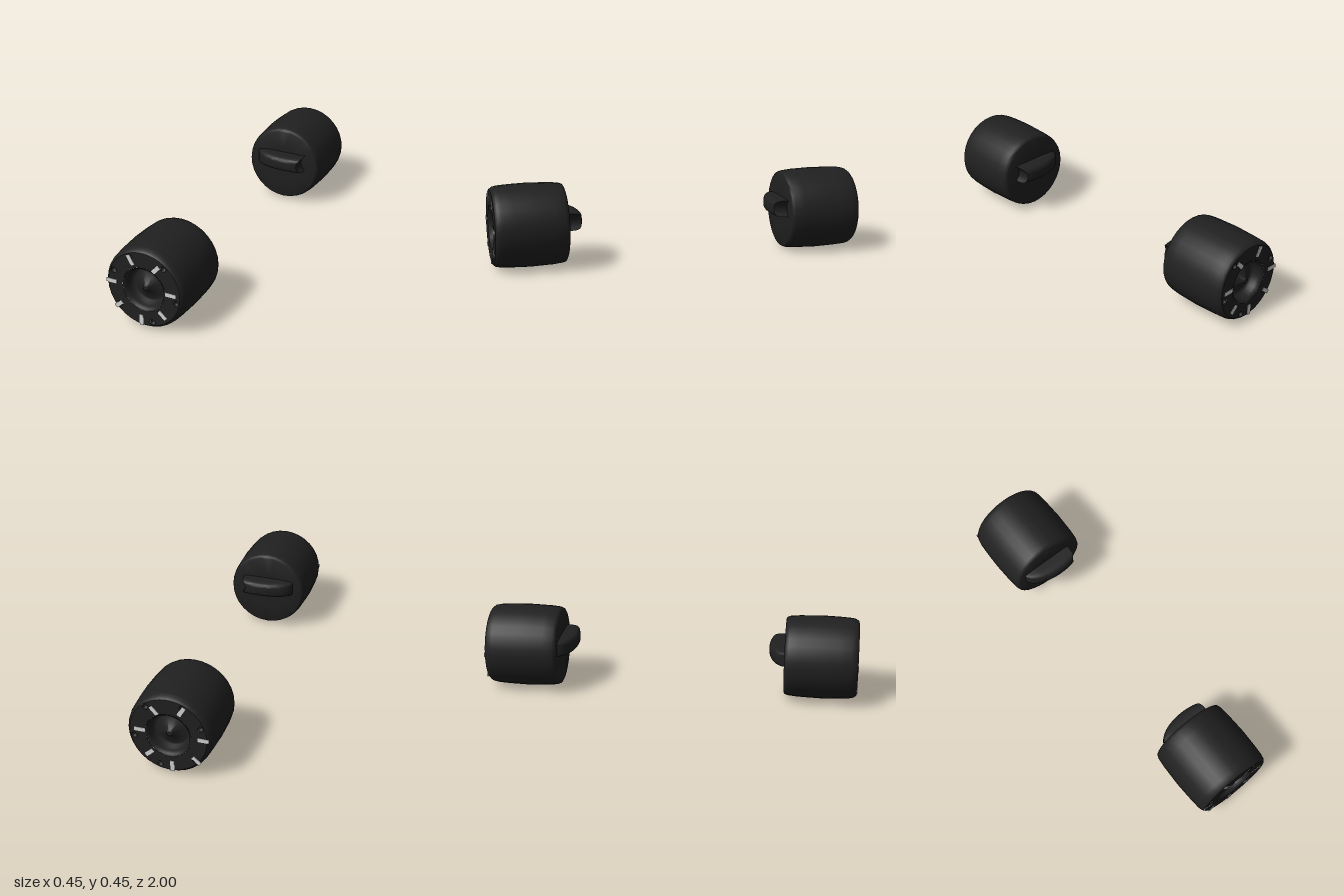
import * as THREE from 'three';
import { toCreasedNormals } from 'three/addons/utils/BufferGeometryUtils.js';

const CY = 0.225;      // height of the roller axis
const FACE = 0.998;    // z of the outer face
const SIDES = 32;

// Dents in the face: angle in degrees around the axis
const DENTS = [51, -11, -75.6, -140, 157.6, 114.4];
const DENT_ORBIT = 0.18, DENT_R = 0.015;

// Painted marks: x, y, angle in degrees, length
const MARKS = [
  [0.147, 0.23, 0, 0.058], [0.07, 0.351, 48, 0.053], [-0.07, 0.372, 120, 0.057],
  [-0.18, 0.23, 0, 0.058], [-0.143, 0.107, 40, 0.05], [-0.018, 0.05, 90, 0.058],
  [0.1, 0.105, -43, 0.05],
];

const lathe = (pts, sides = SIDES) =>
  new THREE.LatheGeometry(pts.map(([r, y]) => new THREE.Vector2(r, y)), sides).rotateX(Math.PI / 2);

// Mirror a geometry front to back, keeping its faces outward
function mirrorZ(geometry) {
  const g = geometry.index ? geometry.toNonIndexed() : geometry.clone();
  g.scale(1, 1, -1);
  g.deleteAttribute('uv');
  for (const { array } of Object.values(g.attributes)) {
    for (let i = 0; i < array.length; i += 9) {
      for (let k = 3; k < 6; k++) {
        [array[i + k], array[i + k + 3]] = [array[i + k + 3], array[i + k]];
      }
    }
  }
  return g;
}

// Barrel: flat inner face, slightly bulging side, rounded outer edge
function barrel() {
  const g = lathe([
    [0, 0.61], [0.1, 0.61], [0.2, 0.61], [0.208, 0.614], [0.214, 0.63], [0.219, 0.68], [0.223, 0.8],
    [0.22, 0.9], [0.216, 0.96], [0.211, 0.983], [0.202, 0.995], [0.198, FACE],
  ]);
  return toCreasedNormals(g, 0.9).translate(0, CY, 0);
}

// Recessed centre with a low cone and a small tip
function cup() {
  const g = lathe([
    [0.118, FACE], [0.109, 0.993], [0.104, 0.975], [0.1, 0.95], [0.09, 0.938], [0.08, 0.938],
    [0.05, 0.952], [0.02, 0.968], [0.016, 0.98], [0.01, 0.986], [0, 0.987],
  ]);
  return toCreasedNormals(g, 0.9).translate(0, CY, 0);
}

const dentCentre = (deg) => {
  const a = THREE.MathUtils.degToRad(deg);
  return [DENT_ORBIT * Math.cos(a), DENT_ORBIT * Math.sin(a)];
};

// Flat ring pierced by the dents
function faceRing() {
  const shape = new THREE.Shape().absarc(0, 0, 0.198, 0, Math.PI * 2);
  shape.holes.push(new THREE.Path().absarc(0, 0, 0.118, 0, Math.PI * 2, true));
  for (const deg of DENTS) {
    const [x, y] = dentCentre(deg);
    shape.holes.push(new THREE.Path().absarc(x, y, DENT_R, 0, Math.PI * 2, true));
  }
  return new THREE.ShapeGeometry(shape, SIDES).translate(0, CY, FACE);
}

// Bowl-shaped dent, seen from the inside
function dent(deg) {
  const [x, y] = dentCentre(deg);
  const pts = [];
  for (let i = 0; i <= 5; i++) {
    const a = (i / 5) * Math.PI / 2;
    pts.push([DENT_R * Math.cos(a), -DENT_R * Math.sin(a)]);
  }
  return lathe(pts, 16).translate(x, CY + y, FACE);
}

function mark([x, y, deg, length]) {
  return new THREE.BoxGeometry(length, 0.021, 0.004)
    .rotateZ(THREE.MathUtils.degToRad(deg)).translate(x, y, FACE);
}

// Lug on the inner face: one end swells up in a curve, the other is scooped
function lug() {
  const cols = 18, rows = 20;
  const g = new THREE.PlaneGeometry(1, 1, cols, rows);
  const p = g.attributes.position;
  const x0 = -0.155, x1 = 0.135, peak = 0.03;
  const soft = (c) => Math.sign(c) * Math.sqrt(Math.abs(c));
  for (let i = 0; i < p.count; i++) {
    const col = Math.round((p.getX(i) + 0.5) * cols);
    const v = (p.getY(i) + 0.5) * Math.PI;
    const t = Math.min(col / (cols - 1), 1) ** 1.6;
    let x = x0 + (x1 - x0) * t;
    const d = (x - peak) / (peak - x0);
    const rise = x < peak ? Math.sqrt(Math.max(0, 1 - d * d)) : 1 - 0.4 * d * d;
    const height = col === cols ? 0 : 0.09 * rise;
    const across = soft(Math.cos(v));
    const half = 0.045 * (0.75 + 0.25 * Math.min(1, rise * 1.3));
    x -= 0.025 * t ** 6 * (1 - across * across);
    p.setXYZ(i, x, 0.255 + half * across, 0.613 - height * soft(Math.max(0, Math.sin(v))));
  }
  return toCreasedNormals(g, 0.9);
}

export function createModel() {
  const black = new THREE.MeshStandardMaterial({ color: 0x202020 });
  black.name = 'matte black';
  const pale = new THREE.MeshStandardMaterial({ color: 0xd2d2d2 });
  pale.name = 'pale grey';

  const parts = [
    ['barrel', barrel(), black],
    ['cup', cup(), black],
    ['faceRing', faceRing(), black],
    ['lug', lug(), black],
    ...DENTS.map((deg) => ['dent', dent(deg), black]),
    ...MARKS.map((m) => ['mark', mark(m), pale]),
  ];

  const model = new THREE.Group();
  model.name = 'rollerPair';
  for (const back of [false, true]) {
    const roller = new THREE.Group();
    roller.name = back ? 'backRoller' : 'frontRoller';
    for (const [name, geometry, material] of parts) {
      const mesh = new THREE.Mesh(back ? mirrorZ(geometry) : geometry, material);
      mesh.name = name;
      roller.add(mesh);
    }
    model.add(roller);
  }
  return model;
}
